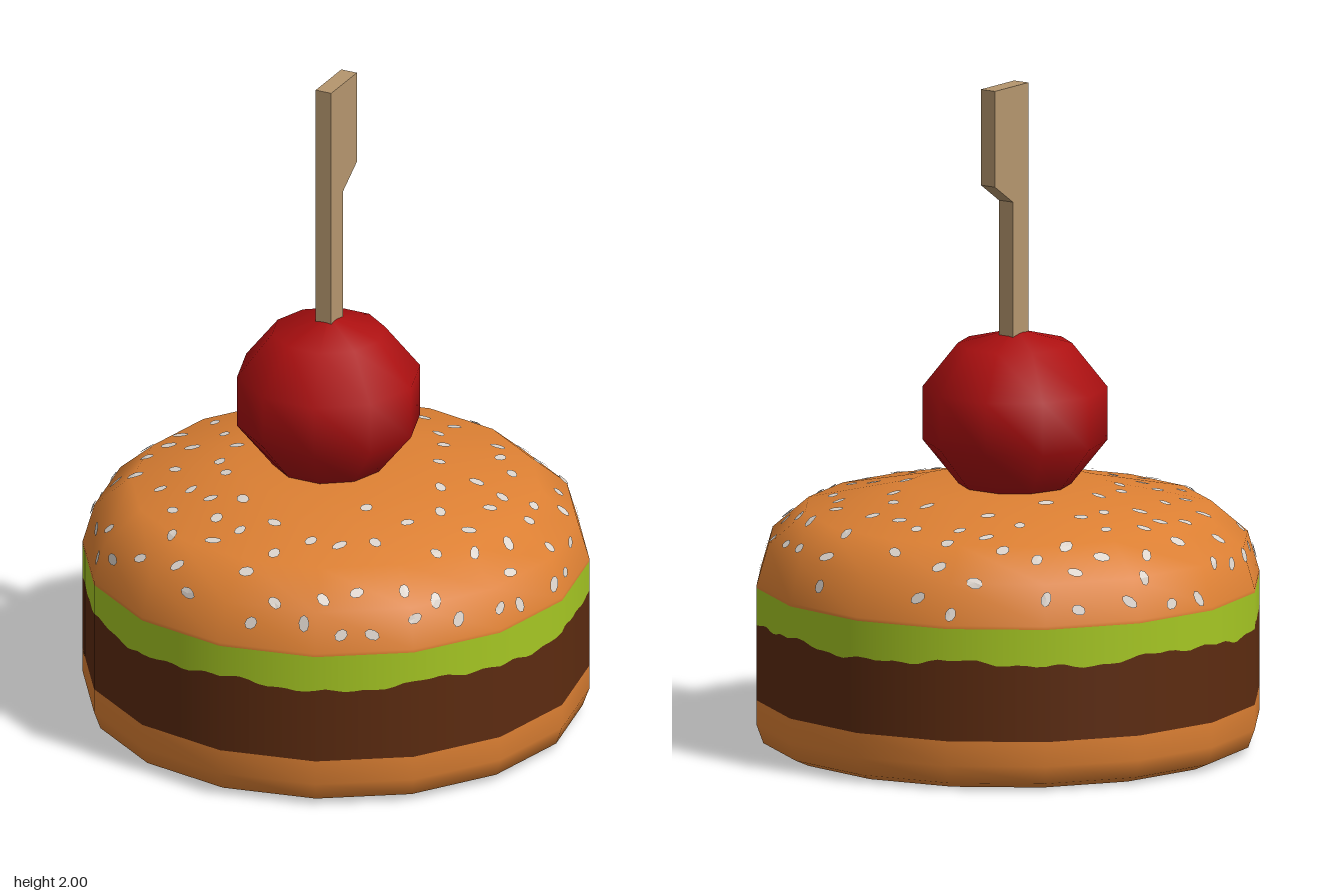
import * as THREE from 'three';

const SIDES = 16, RADIUS = 0.755;
const TURN = THREE.MathUtils.degToRad(14.8);

const mat = (name, color, side = THREE.FrontSide) => {
  const m = new THREE.MeshStandardMaterial({ color, side });
  m.name = name;
  return m;
};

const mesh = (name, geometry, material) => {
  const m = new THREE.Mesh(geometry, material);
  m.name = name;
  return m;
};

const lathe = (pairs, sides) =>
  new THREE.LatheGeometry(pairs.map(([r, y]) => new THREE.Vector2(r, y)), sides);

// Shrinks a radius so that a point lies on the flat side of the polygon
function facet(phi) {
  const step = (2 * Math.PI) / SIDES;
  const local = phi - Math.floor(phi / step) * step - step / 2;
  return Math.cos(step / 2) / Math.cos(local);
}

// Wall strip round the polygon between two height functions
function band(lower, upper) {
  const n = SIDES * 10, pos = [], nor = [], idx = [];
  for (let i = 0; i <= n; i++) {
    const t = (i / n) * 2 * Math.PI, r = RADIUS * facet(t);
    for (const h of [lower, upper]) {
      pos.push(r * Math.sin(t), h(t), r * Math.cos(t));
      nor.push(Math.sin(t), 0, Math.cos(t));
    }
    if (i < n) idx.push(2 * i, 2 * i + 2, 2 * i + 3, 2 * i, 2 * i + 3, 2 * i + 1);
  }
  const g = new THREE.BufferGeometry();
  g.setAttribute('position', new THREE.Float32BufferAttribute(pos, 3));
  g.setAttribute('normal', new THREE.Float32BufferAttribute(nor, 3));
  g.setIndex(idx);
  return g;
}

const DOME = [[RADIUS, 0.49], [RADIUS, 0.5], [0.72, 0.62], [0.61, 0.715], [0.29, 0.785], [0, 0.786]];

// Point on the faceted dome, lifted slightly; s is the distance up its profile
function domePoint(phi, s, lift) {
  let i = 1, len = 0;
  for (; i < 4; i++) {
    len = Math.hypot(DOME[i + 1][0] - DOME[i][0], DOME[i + 1][1] - DOME[i][1]);
    if (s <= len || i === 3) break;
    s -= len;
  }
  const dr = (DOME[i + 1][0] - DOME[i][0]) / len, dy = (DOME[i + 1][1] - DOME[i][1]) / len;
  const r = (DOME[i][0] + dr * s) * facet(phi) + dy * lift;
  const y = DOME[i][1] + dy * s - dr * lift;
  return new THREE.Vector3(r * Math.sin(phi), y, r * Math.cos(phi));
}

// Scattered oval seeds draped over the dome
function seedGeometry() {
  let state = 7;
  const rand = () => (state = (state * 16807) % 2147483647) / 2147483647;
  const centres = [], pos = [];
  for (let tries = 0; tries < 6000 && centres.length < 115; tries++) {
    const phi = rand() * 2 * Math.PI, s = 0.03 + rand() * 0.55;
    const c = domePoint(phi, s, 0.005), r = Math.hypot(c.x, c.z);
    if (rand() > r / RADIUS || centres.some((p) => p.distanceTo(c) < 0.088)) continue;
    centres.push(c);
    const spin = rand() * Math.PI, a = 0.021 + rand() * 0.006, b = 0.015 + rand() * 0.003;
    const rim = [];
    for (let k = 0; k < 8; k++) {
      const t = (k / 8) * 2 * Math.PI, u = a * Math.cos(t), v = b * Math.sin(t);
      rim.push(domePoint(
        phi + (u * Math.cos(spin) - v * Math.sin(spin)) / r,
        s + u * Math.sin(spin) + v * Math.cos(spin), 0.005));
    }
    rim.forEach((p, k) => pos.push(...c, ...p, ...rim[(k + 1) % 8]));
  }
  const g = new THREE.BufferGeometry();
  g.setAttribute('position', new THREE.Float32BufferAttribute(pos, 3));
  g.computeVertexNormals();
  return g;
}

export function createModel() {
  const bun = mat('bun', 0xdd8033);
  const patty = mat('patty', 0x5c2b10);
  const lettuce = mat('lettuce', 0xa5c623);
  const tomato = mat('tomato', 0xac0f10);
  const wood = mat('wood', 0xb5966e);
  const seed = mat('seed', 0xdcd4cc, THREE.DoubleSide);

  const group = new THREE.Group();
  group.name = 'burger';
  const body = new THREE.Group();
  body.name = 'turnedBody';
  body.rotation.y = TURN;
  group.add(body);

  // Lower bun with its flat underside
  body.add(mesh('lowerBun', lathe([[0.69, 0], [0.735, 0.02], [RADIUS, 0.075], [RADIUS, 0.15]], SIDES), bun));
  const base = new THREE.CircleGeometry(0.69, SIDES).rotateX(Math.PI / 2);
  body.add(mesh('underside', base, bun));

  // Patty and the lettuce hanging over it in a ragged edge
  const edge = (t) => 0.382 + 0.009 * Math.sin(7 * t) + 0.006 * Math.sin(16 * t + 1) + 0.004 * Math.sin(37 * t);
  body.add(mesh('patty', band(() => 0.15, edge), patty));
  body.add(mesh('lettuce', band(edge, () => 0.49), lettuce));

  // Domed upper bun and seeds
  body.add(mesh('upperBun', lathe(DOME, SIDES), bun));
  body.add(mesh('seeds', seedGeometry(), seed));

  // Cherry tomato: a coarse ball, slightly wider than tall
  const ball = [[0, 0.75], [0.168, 0.787], [0.275, 0.92], [0.275, 1.08], [0.17, 1.212], [0, 1.256]];
  const cherry = mesh('cherryTomato', lathe(ball, 10), tomato);
  cherry.position.set(-0.005, 0, -0.022);
  body.add(cherry);

  // Flag-shaped wooden pick
  const outline = [[-0.031, 0.8], [0.046, 0.8], [0.046, 1.65], [0.136, 1.71], [0.136, 2], [-0.031, 2]];
  const pick = new THREE.ExtrudeGeometry(
    new THREE.Shape(outline.map(([x, y]) => new THREE.Vector2(x, y))),
    { depth: 0.052, bevelEnabled: false });
  pick.translate(0, 0, -0.052);
  body.add(mesh('pick', pick, wood));

  return group;
}
